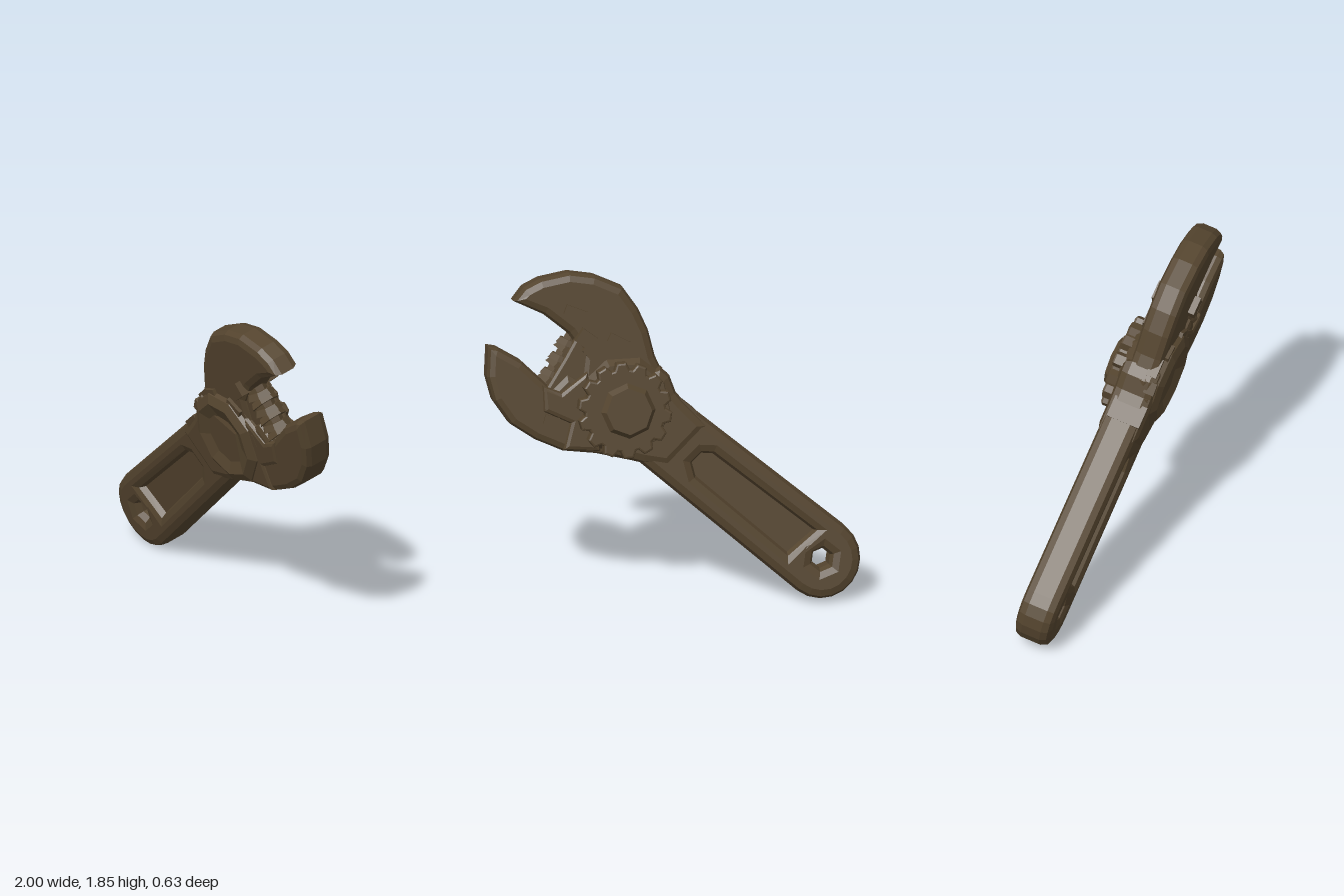
import * as THREE from 'three';

export function createModel() {
  const group = new THREE.Group();
  group.name = 'adjustableWrench';
  const bronze = new THREE.MeshStandardMaterial({ color: 0x54442e, flatShading: true });
  bronze.name = 'darkBronze';

  // The whole tool leans: its flat plane rises towards the front at the head
  const tilt = new THREE.Matrix4().makeBasis(
    new THREE.Vector3(1, 0, 0.043),
    new THREE.Vector3(0, 1, 0.221),
    new THREE.Vector3(-0.042, -0.215, 0.975)
  ).setPosition(0, 0, -0.19);
  const handleAngle = Math.atan2(0.65, 0.76);

  // Places a geometry in the tool's plane, then leans it
  function add(name, geo, x = 0, y = 0, z = 0, angle = 0) {
    geo.rotateZ(angle).translate(x, y, z).applyMatrix4(tilt);
    const mesh = new THREE.Mesh(geo, bronze);
    mesh.name = name;
    group.add(mesh);
  }
  const vectors = (pts) => pts.map(([x, y]) => new THREE.Vector2(x, y));
  const ring = (r, n) => Array.from({ length: n }, (_, i) => {
    const a = (i / n) * Math.PI * 2;
    return [r * Math.cos(a), r * Math.sin(a)];
  });
  // Bevelled plate centred on its own plane; the outline is its widest section
  function plate(outline, half, bevel, holes = []) {
    const shape = new THREE.Shape(vectors(outline));
    for (const h of holes) shape.holes.push(new THREE.Path(vectors(h)));
    const geo = new THREE.ExtrudeGeometry(shape, {
      depth: 2 * (half - bevel), bevelEnabled: true, bevelThickness: bevel,
      bevelSize: bevel, bevelOffset: -bevel, bevelSegments: 2
    });
    return geo.translate(0, 0, bevel - half);
  }

  // Handle: rounded end with hanging hole, and a sunk panel on both faces
  const ex = -0.785, ey = 0.218;
  const outline = [[1.2, -0.19], [1.2, 0.21]];
  for (let i = 0; i <= 10; i++) {
    const a = Math.PI / 2 + (i / 10) * Math.PI;
    outline.push([0.216 * Math.cos(a), 0.216 * Math.sin(a)]);
  }
  const panel = [[0.17, -0.085], [0.82, -0.065], [0.88, -0.02], [0.87, 0.05], [0.82, 0.085], [0.13, 0.095]];
  add('handle', plate(outline, 0.104, 0.05, [ring(0.054, 6), panel]), ex, ey, 0, handleAngle);
  add('handlePanel', new THREE.BoxGeometry(0.83, 0.23, 0.11), ex + 0.394, ey + 0.337, 0, handleAngle);

  // Neck flaring from the handle into the head
  add('neck', plate([[-0.2, 0.97], [0.03, 0.76], [0.17, 0.79], [0.4, 0.86], [0.4, 1.2],
    [0.05, 1.3], [0, 1.25], [-0.03, 1.16], [-0.07, 1.11]], 0.115, 0.05));
  add('neckCollar', new THREE.BoxGeometry(0.12, 0.07, 0.19), -0.075, 1.06, 0.01, handleAngle);

  // Fixed upper jaw
  add('upperJaw', plate([[0.0, 1.2], [0.3, 1.1], [0.5, 1.22], [0.47, 1.4], [0.54, 1.51], [0.67, 1.62],
    [0.83, 1.7], [0.77, 1.77], [0.68, 1.81], [0.52, 1.835], [0.38, 1.81], [0.23, 1.74],
    [0.15, 1.62], [0.1, 1.5], [0.07, 1.36]], 0.085, 0.045), 0, -0.005, 0.005);

  // Movable lower jaw
  add('lowerJaw', plate([[0.17, 0.79], [0.42, 0.855], [0.6, 0.88], [0.75, 0.95], [0.88, 1.04],
    [0.965, 1.17], [0.995, 1.3], [0.98, 1.46], [0.93, 1.45], [0.8, 1.37], [0.71, 1.28],
    [0.65, 1.22], [0.56, 1.3], [0.48, 1.25], [0.35, 1.15]], 0.09, 0.04), 0, 0, 0.005);
  add('jawSlide', plate([[0.4, 0.87], [0.6, 0.89], [0.56, 1.03], [0.7, 1.1], [0.7, 1.24],
    [0.6, 1.2], [0.45, 1.3]], 0.108, 0.025));

  // Web of the throat and the worm screw across it
  add('throatWeb', plate([[0.35, 1.2], [0.6, 1.1], [0.68, 1.22], [0.57, 1.38], [0.5, 1.49], [0.35, 1.45]], 0.07, 0.02));
  const wormAngle = Math.atan2(-0.26, 0.16);
  for (let i = 0; i < 6; i++) {
    const t = i / 5;
    const disc = new THREE.CylinderGeometry(0.085, 0.07, 0.034, 7).rotateZ(-Math.PI / 2);
    add('wormThread', disc, 0.52 + 0.12 * t, 1.44 - 0.2 * t, 0.015, wormAngle + (i % 2 ? 0.18 : -0.12));
  }
  add('wormCore', new THREE.CylinderGeometry(0.055, 0.055, 0.32, 7).rotateZ(-Math.PI / 2), 0.58, 1.34, 0.015, wormAngle);
  add('wormBlock', new THREE.BoxGeometry(0.1, 0.08, 0.25), 0.45, 1.475, 0, 0.65);

  // Round hub with a shallow dished front
  const hubX = 0.25, hubY = 1.1;
  const profile = [[0, -0.12], [0.24, -0.12], [0.28, -0.07], [0.295, 0.04], [0.265, 0.115],
    [0.215, 0.14], [0.12, 0.105], [0, 0.095]];
  add('hub', new THREE.LatheGeometry(vectors(profile), 9).rotateX(Math.PI / 2), hubX, hubY);
  for (let i = 0; i < 8; i++) {
    const a = 0.3 + i * 0.4;
    add('hubLug', new THREE.BoxGeometry(0.045, 0.07 + 0.02 * (i % 3), 0.06),
      hubX + 0.262 * Math.cos(a), hubY + 0.262 * Math.sin(a), 0.08 - 0.02 * (i % 2), a);
  }

  // Toothed wheel and stepped nut on the back
  const teeth = [];
  for (let i = 0; i < 14; i++) {
    for (const [f, r] of [[0, 0.222], [0.2, 0.258], [0.65, 0.258], [0.85, 0.222]]) {
      const a = ((i + f) / 14) * Math.PI * 2;
      teeth.push([r * Math.cos(a), r * Math.sin(a)]);
    }
  }
  add('backGear', plate(teeth, 0.04, 0.012), hubX + 0.015, hubY - 0.01, -0.135);
  add('backNut', new THREE.CylinderGeometry(0.16, 0.125, 0.05, 8).rotateX(Math.PI / 2), hubX, hubY - 0.01, -0.185);

  // Raised lumps on the back of the head
  for (const [x, y, w, a] of [[0.27, 1.45, 0.12, 0.5], [0.43, 1.4, 0.08, 0.9], [0.5, 1.62, 0.12, 0.4],
    [0.6, 1.15, 0.1, -0.6], [0.66, 1.05, 0.08, 0.3]]) {
    add('backLump', new THREE.BoxGeometry(w, 0.05, 0.05), x, y, -0.075, a);
  }
  return group;
}
